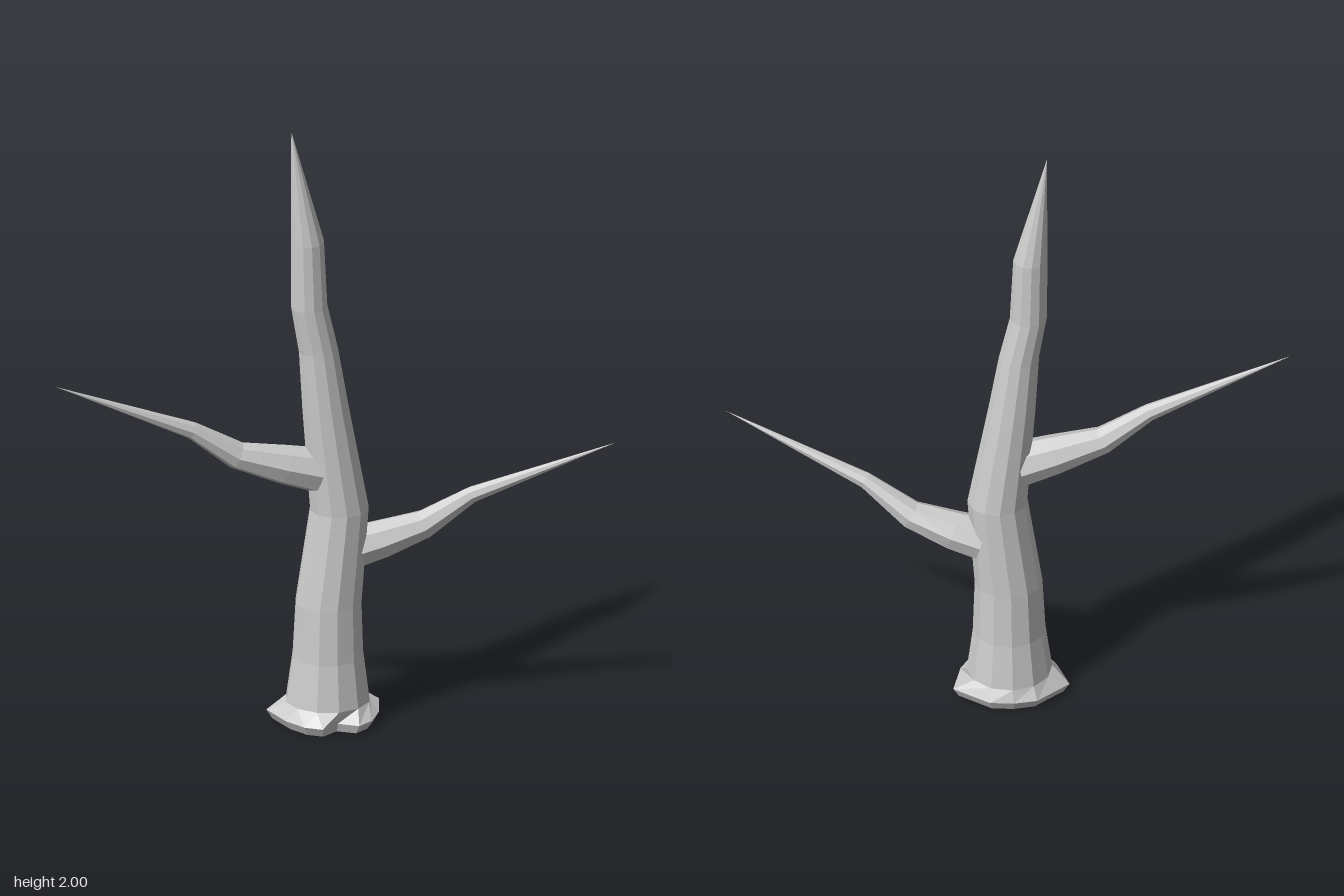
import * as THREE from 'three';

const material = new THREE.MeshStandardMaterial({ color: 0xcccccc, flatShading: true, side: THREE.DoubleSide });

// Skin a list of rings (equal point counts, ordered along the limb) with quads.
function skin(name, rings) {
  const n = rings[0].length;
  const index = [];
  for (let r = 0; r < rings.length - 1; r++) {
    for (let i = 0; i < n; i++) {
      const a = r * n + i, b = r * n + (i + 1) % n;
      index.push(a, b, b + n);
      if (r < rings.length - 2) index.push(a, b + n, a + n); // last ring is the tip
    }
  }
  const geometry = new THREE.BufferGeometry().setFromPoints(rings.flat());
  geometry.setIndex(index);
  geometry.computeVertexNormals();
  const mesh = new THREE.Mesh(geometry, material);
  mesh.name = name;
  return mesh;
}

// Tapering limb along stations [x, y, z, radius], each ring square to the path.
function limb(name, stations, sides) {
  const points = stations.map(([x, y, z]) => new THREE.Vector3(x, y, z));
  const rings = stations.map((s, k) => {
    const before = points[Math.max(k - 1, 0)];
    const after = points[Math.min(k + 1, points.length - 1)];
    const t = after.clone().sub(before).normalize();
    const u = new THREE.Vector3(0, 0, 1).addScaledVector(t, -t.z).normalize();
    const v = t.clone().cross(u);
    return Array.from({ length: sides }, (_, i) => {
      const a = (i / sides) * Math.PI * 2;
      return points[k].clone()
        .addScaledVector(u, Math.cos(a) * s[3])
        .addScaledVector(v, Math.sin(a) * s[3]);
    });
  });
  return skin(name, rings);
}

function createTrunk() {
  const cz = -0.047;
  // Half outline of the lobed root flare, front to back, mirrored below
  const half = [[0, 0.08], [0.06, 0.118], [0.11, 0.085], [0.152, 0.015], [0.184, -0.1], [0.075, -0.187], [0, -0.197]];
  const outline = half.concat(half.slice(1, 6).reverse().map(([x, z]) => [-x, z]));
  const flare = (y, s) => outline.map(([x, z]) => new THREE.Vector3(x * s, y, cz + (z - cz) * s));

  // Trunk stations: height, centre x, radius
  const stations = [
    [0.07, 0.002, 0.135], [0.22, 0.003, 0.115], [0.4, 0.005, 0.107], [0.71, 0.04, 0.095],
    [1.06, -0.006, 0.075], [1.25, -0.028, 0.064], [1.4, -0.058, 0.059], [1.62, -0.064, 0.054], [2, -0.117, 0],
  ];
  const rings = stations.map(([y, cx, r]) => outline.map((_, i) => {
    const a = (i / outline.length) * Math.PI * 2;
    return new THREE.Vector3(cx + Math.sin(a) * r, y, cz + Math.cos(a) * r);
  }));
  return skin('trunk', [flare(0, 0.9), flare(0.03, 1), ...rings]);
}

export function createModel() {
  const group = new THREE.Group();
  group.name = 'bareTree';
  group.add(createTrunk());

  // Lower branch, sweeping forward
  group.add(limb('leftBranch', [
    [0.09, 0.57, -0.052, 0.071], [0.18, 0.595, -0.036, 0.064], [0.31, 0.642, -0.008, 0.047],
    [0.45, 0.745, 0.042, 0.027], [0.88, 0.932, 0.19, 0],
  ], 8));

  // Upper branch
  group.add(limb('rightBranch', [
    [-0.03, 0.845, -0.05, 0.074], [-0.14, 0.875, -0.05, 0.065], [-0.295, 0.922, -0.05, 0.045],
    [-0.44, 1.02, -0.052, 0.028], [-0.885, 1.212, -0.055, 0],
  ], 8));

  return group;
}
